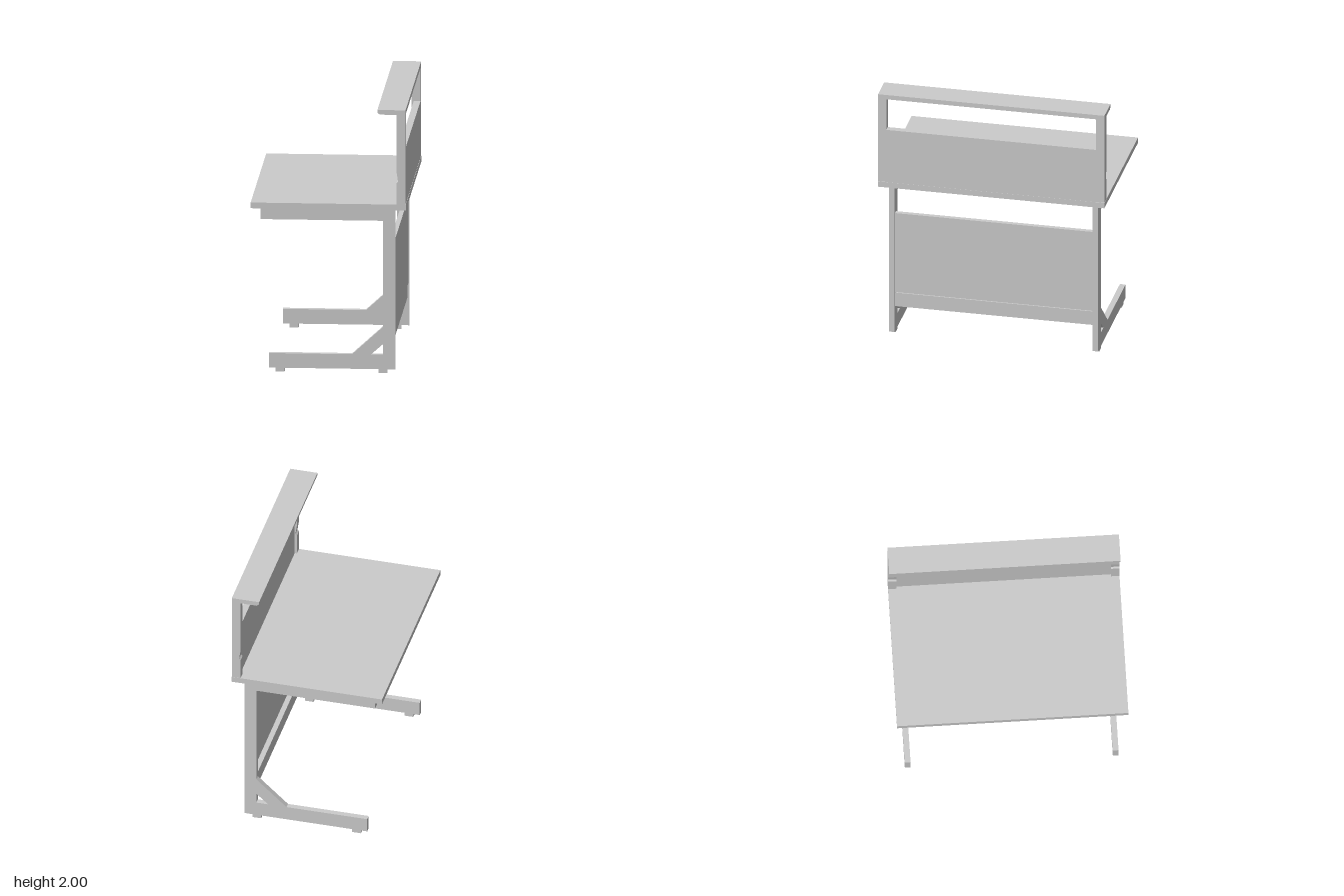
import * as THREE from 'three';

const material = new THREE.MeshStandardMaterial({ color: 0xcccccc, flatShading: true });

// Box given by its extents on each axis
function box(name, x0, x1, y0, y1, z0, z1) {
  const mesh = new THREE.Mesh(new THREE.BoxGeometry(x1 - x0, y1 - y0, z1 - z0), material);
  mesh.position.set((x0 + x1) / 2, (y0 + y1) / 2, (z0 + z1) / 2);
  mesh.name = name;
  return mesh;
}

// Side profile (x, y) extruded from z0 to z1
function profile(name, points, z0, z1, hole) {
  const toVectors = (list) => list.map(([x, y]) => new THREE.Vector2(x, y));
  const shape = new THREE.Shape(toVectors(points));
  if (hole) shape.holes.push(new THREE.Path(toVectors(hole)));
  const geometry = new THREE.ExtrudeGeometry(shape, { depth: z1 - z0, bevelEnabled: false });
  const mesh = new THREE.Mesh(geometry, material);
  mesh.position.z = z0;
  mesh.name = name;
  return mesh;
}

export function createModel() {
  const model = new THREE.Group();
  model.name = 'workbench';
  const legIn = 0.747, legOut = 0.79, postIn = 0.793, postOut = 0.855;

  // Foot, upright, brace and top arm in one outline
  const legPoints = [
    [-0.445, 0.03], [0.49, 0.03], [0.49, 1.245], [-0.505, 1.245], [-0.505, 1.15],
    [0.4, 1.15], [0.4, 0.35], [0.17, 0.14], [-0.445, 0.14],
  ];
  const braceHole = [[0.31, 0.14], [0.4, 0.22], [0.4, 0.14]];

  // Hutch post with a shallow notch on its inner edge
  const postPoints = [
    [0.503, 1.29], [0.57, 1.29], [0.57, 1.965], [0.503, 1.965],
    [0.503, 1.54], [0.515, 1.46], [0.503, 1.45],
  ];

  for (const side of [1, -1]) {
    const span = (a, b) => (side > 0 ? [a, b] : [-b, -a]);
    model.add(profile('legFrame', legPoints, ...span(legIn, legOut), braceHole));
    model.add(profile('hutchPost', postPoints, ...span(postIn, postOut)));
    for (const x of [-0.362, 0.398]) {
      model.add(box('footPad', x - 0.033, x + 0.033, 0, 0.03, ...span(0.753, 0.784)));
    }
  }

  // Desk and supports between the leg frames
  model.add(box('deskTop', -0.575, 0.572, 1.245, 1.288, -postOut, postOut));
  model.add(box('frontRail', -0.505, -0.465, 1.15, 1.245, -legIn, legIn));
  model.add(box('modestyPanel', 0.45, 0.485, 0.355, 1.0, -legIn, legIn));
  model.add(box('lowerBeam', 0.415, 0.475, 0.235, 0.345, -legIn, legIn));

  // Hutch panel and top shelf
  model.add(box('hutchPanel', 0.52, 0.57, 1.288, 1.715, -postIn, postIn));
  model.add(profile('topShelf', [
    [0.38, 1.965], [0.57, 1.965], [0.57, 2], [0.362, 2], [0.362, 1.98],
  ], -postOut, postOut));

  return model;
}
